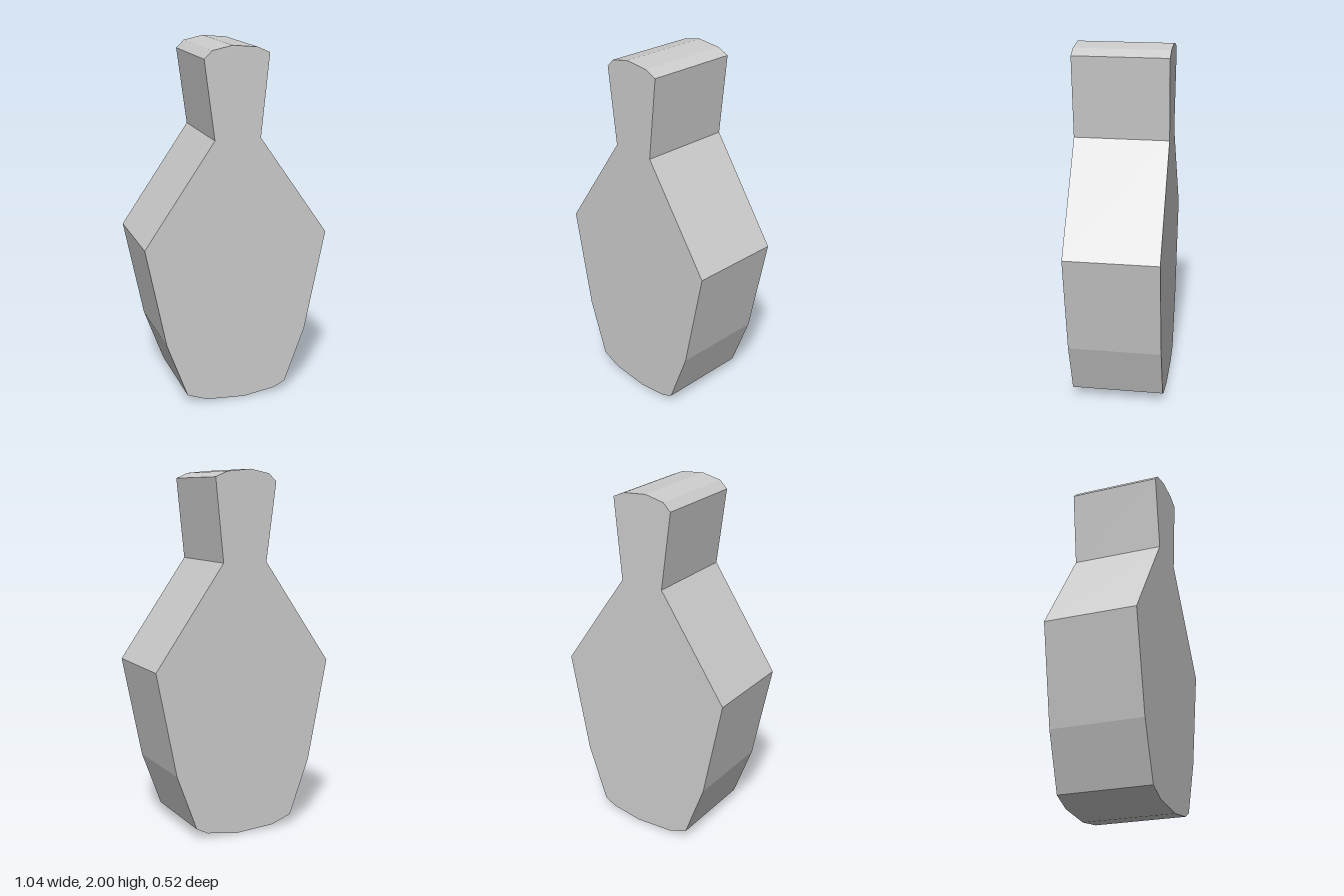
import * as THREE from 'three';

export function createModel() {
  const model = new THREE.Group();
  model.name = 'pinCutout';

  const grey = new THREE.MeshStandardMaterial({ color: 0xcccccc });
  grey.name = 'light grey';

  // Pin outline, counter-clockwise from the lowest point
  const outline = [
    [0.045, 0], [0.225, 0.027], [0.29, 0.06],        // right of the base
    [0.405, 0.37], [0.52, 0.945], [0.127, 1.507],    // right of belly and neck
    [0.173, 1.957], [0.105, 1.987], [-0.033, 2],     // head
    [-0.143, 1.977], [-0.187, 1.935],
    [-0.13, 1.507], [-0.522, 0.94], [-0.41, 0.375],  // left of neck and belly
    [-0.295, 0.06], [-0.18, 0.016],                  // left of the base
  ].map(([x, y]) => new THREE.Vector2(x, y));

  // Straight slab, centred in depth
  const depth = 0.52;
  const geometry = new THREE.ExtrudeGeometry(new THREE.Shape(outline), {
    depth, bevelEnabled: false, steps: 1,
  });
  geometry.translate(0, 0, -depth / 2);

  const body = new THREE.Mesh(geometry, grey);
  body.name = 'pinBody';
  model.add(body);
  return model;
}
